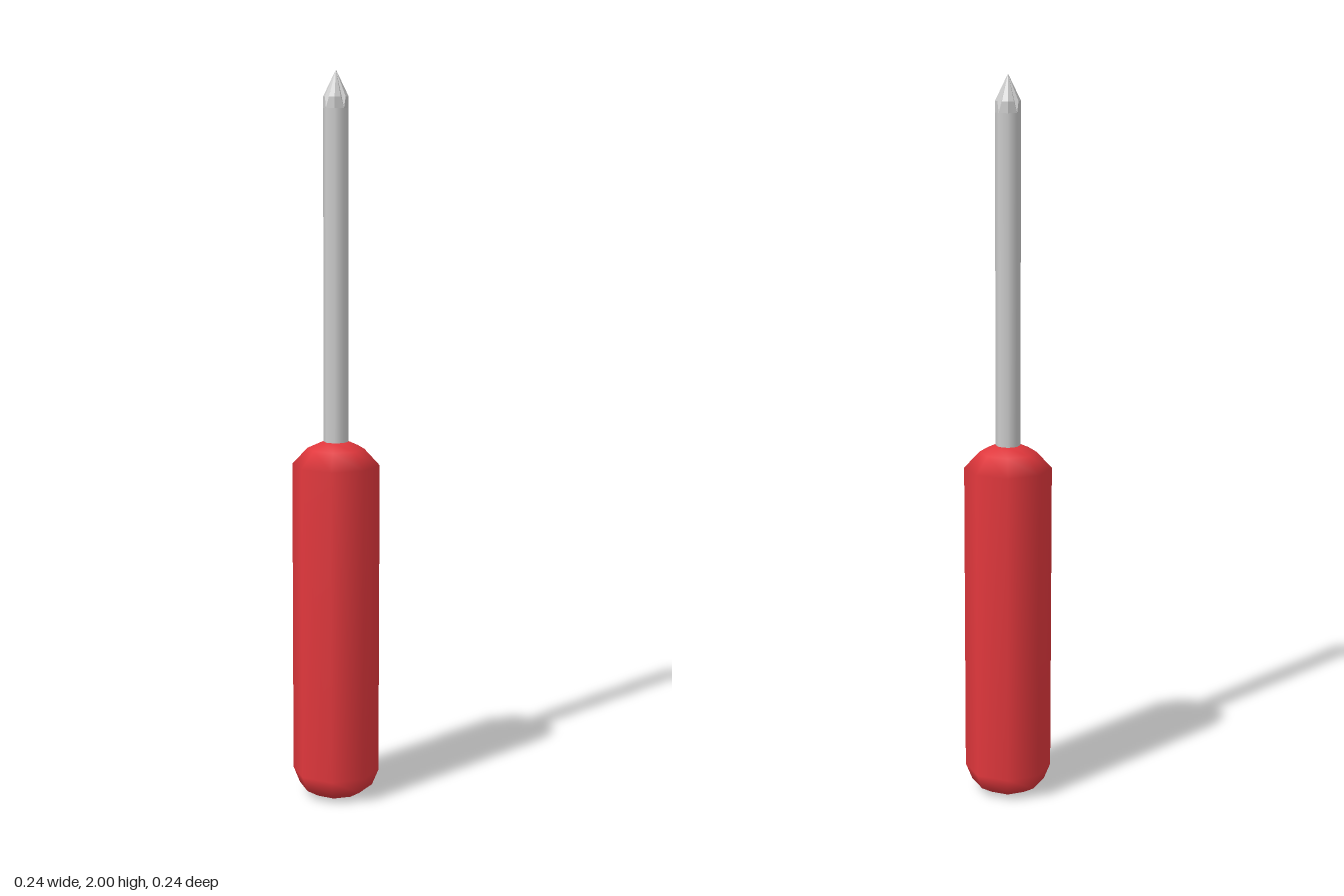
import * as THREE from 'three';

const R = 0.034;       // shaft radius
const VALLEY_Y = 1.9;  // where the cross grooves start
const LIP_Y = 1.93;    // where the point starts
const TIP_Y = 2;

// Corner of the eight-sided shaft, corners lying on the axes
function corner(i, y) {
  const a = (i * Math.PI) / 4;
  return new THREE.Vector3(R * Math.sin(a), y, R * Math.cos(a));
}

// Point with four V grooves, one on each axis
function tipGeometry() {
  const apex = new THREE.Vector3(0, TIP_Y, 0);
  const points = [];
  const tri = (...corners) => points.push(...corners);
  for (let q = 0; q < 8; q += 2) {
    const v0 = corner(q, VALLEY_Y);
    const v1 = corner(q + 2, VALLEY_Y);
    const low = corner(q + 1, VALLEY_Y);
    const mid = corner(q + 1, LIP_Y);
    const lip0 = corner(q, LIP_Y).lerp(mid, 0.35);
    const lip1 = corner(q + 2, LIP_Y).lerp(mid, 0.35);
    // end of the shaft between two grooves
    tri(v0, low, lip0);
    tri(low, mid, lip0);
    tri(low, lip1, mid);
    tri(low, v1, lip1);
    // groove walls and sloping blade
    tri(v0, lip0, apex);
    tri(lip0, mid, apex);
    tri(mid, lip1, apex);
    tri(lip1, v1, apex);
  }
  const geometry = new THREE.BufferGeometry().setFromPoints(points);
  geometry.computeVertexNormals();
  return geometry;
}

export function createModel() {
  const group = new THREE.Group();
  const red = new THREE.MeshStandardMaterial({ color: 0xe0373c });
  const steel = new THREE.MeshStandardMaterial({ color: 0xcccccc });
  const steelFlat = new THREE.MeshStandardMaterial({
    color: 0xcccccc, flatShading: true, side: THREE.DoubleSide,
  });

  const add = (name, geometry, material) => {
    const mesh = new THREE.Mesh(geometry, material);
    mesh.name = name;
    group.add(mesh);
    return mesh;
  };

  // Rounded eight-sided grip
  const profile = [
    [0, 0], [0.065, 0.004], [0.102, 0.026], [0.12, 0.07],
    [0.12, 0.94], [0.078, 0.985], [0.036, 1.004], [0, 1.004],
  ].map(([x, y]) => new THREE.Vector2(x, y));
  add('handle', new THREE.LatheGeometry(profile, 8), red);

  // Steel rod
  const bottom = 0.98;
  const shaft = new THREE.CylinderGeometry(R, R, VALLEY_Y - bottom, 8, 1, true);
  add('shaft', shaft, steel).position.y = (VALLEY_Y + bottom) / 2;

  add('crossTip', tipGeometry(), steelFlat);
  return group;
}
